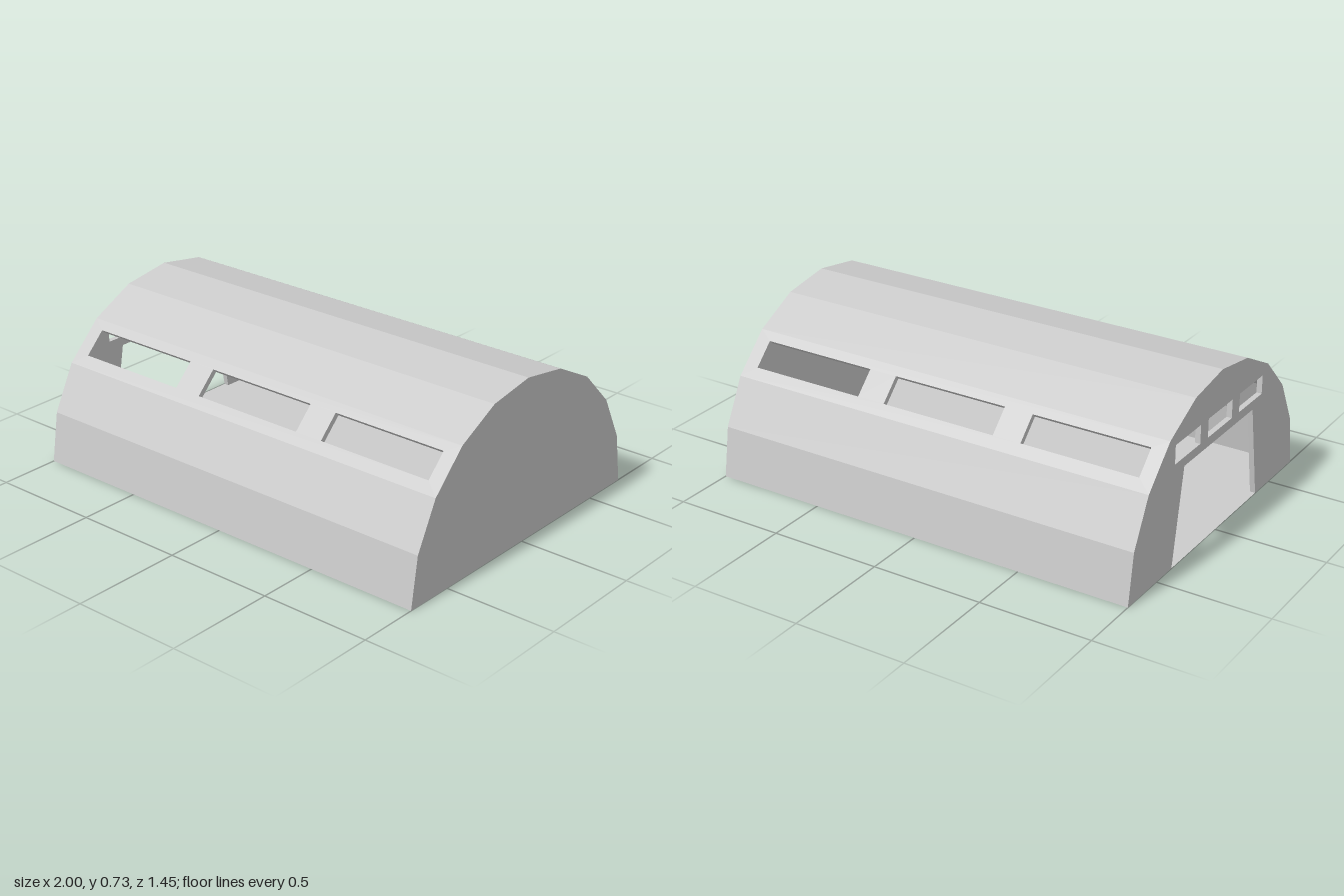
import * as THREE from 'three';

const R = 0.725;               // arch radius
const T = 0.024;               // wall thickness
const FACETS = 10;             // flat strips in the half-round roof
const STEP = Math.PI / FACETS;
const APOTHEM = R * Math.cos(STEP / 2);
const HALF = R * Math.sin(STEP / 2);
const INNER = (APOTHEM - T) / APOTHEM;

const polygon = (points, Type = THREE.Shape) =>
  new Type(points.map(([x, y]) => new THREE.Vector2(x, y)));
const rect = (x0, x1, y0, y1, Type) =>
  polygon([[x0, y0], [x1, y0], [x1, y1], [x0, y1]], Type);

// One strip of the roof, mitred on its inner side so that neighbours meet cleanly
function roofStrip(index) {
  const shape = rect(-1, 1, -HALF, HALF);
  if (index === 2 || index === 7) {
    const [low, high] = index === 2 ? [-0.058, 0.07] : [-0.07, 0.058];
    for (const x of [-0.667, 0, 0.667]) {
      shape.holes.push(rect(x - 0.268, x + 0.268, low, high, THREE.Path));
    }
  }
  const geometry = new THREE.ExtrudeGeometry(shape, { depth: T, bevelEnabled: false });
  const p = geometry.attributes.position;
  for (let i = 0; i < p.count; i++) {
    if (p.getZ(i) < T / 2 && Math.abs(p.getY(i)) > HALF - 1e-4) p.setY(i, p.getY(i) * INNER);
  }
  geometry.translate(0, 0, APOTHEM - T);
  geometry.rotateX(-(index + 0.5) * STEP);
  geometry.computeVertexNormals();
  return geometry;
}

// End wall filling the arch; the entrance wall has a tapered doorway and three windows
function endWall(entrance) {
  const points = [];
  for (let i = 0; i <= FACETS; i++) {
    points.push([R * INNER * Math.cos(i * STEP), R * INNER * Math.sin(i * STEP)]);
  }
  if (entrance) points.push([-0.375, 0], [-0.3, 0.425], [0.3, 0.425], [0.375, 0]);
  const shape = polygon(points);
  if (entrance) {
    for (const z of [-0.275, 0, 0.275]) {
      shape.holes.push(rect(z - 0.105, z + 0.105, 0.466, 0.55, THREE.Path));
    }
  }
  const geometry = new THREE.ExtrudeGeometry(shape, { depth: T, bevelEnabled: false });
  geometry.rotateY(Math.PI / 2);
  geometry.translate(entrance ? -1 : 1 - T, 0, 0);
  return geometry;
}

export function createModel() {
  const group = new THREE.Group();
  group.name = 'archedHangar';
  const material = new THREE.MeshStandardMaterial({ color: 0xcccccc, flatShading: true });
  const add = (name, geometry, mat = material, parent = group) => {
    const mesh = new THREE.Mesh(geometry, mat);
    mesh.name = name;
    parent.add(mesh);
    return mesh;
  };

  // Faceted barrel roof
  const roof = new THREE.Group();
  roof.name = 'roof';
  group.add(roof);
  for (let i = 0; i < FACETS; i++) add(`roofStrip${i + 1}`, roofStrip(i), material, roof);

  // End walls
  add('entranceWall', endWall(true));
  add('closedWall', endWall(false));

  // Floor, seen from inside and below
  const floorMaterial = material.clone();
  floorMaterial.side = THREE.DoubleSide;
  add('floor', new THREE.PlaneGeometry(2, 2 * R).rotateX(-Math.PI / 2), floorMaterial);

  return group;
}
